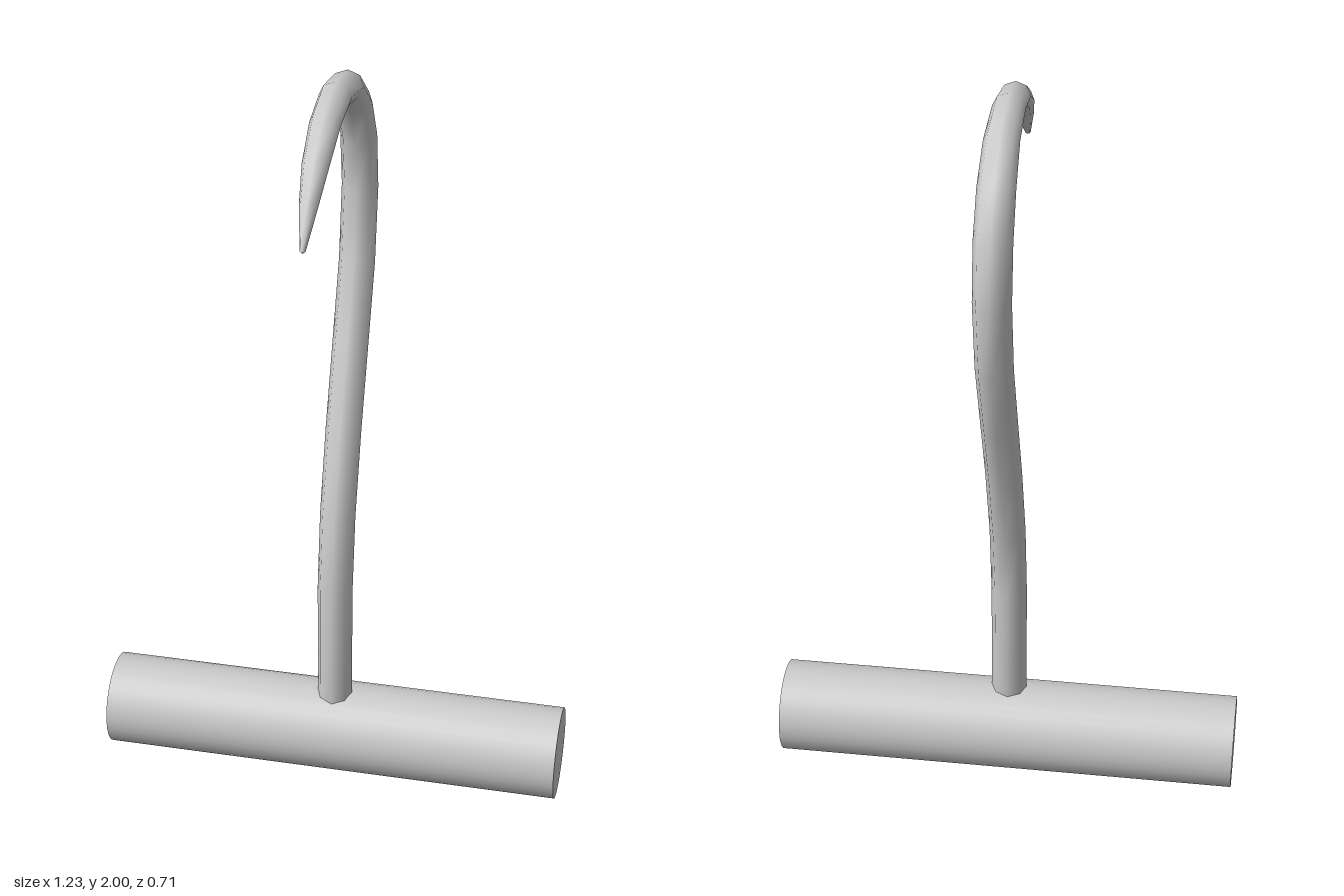
import * as THREE from 'three';

const material = new THREE.MeshStandardMaterial({ color: 0xcccccc });

// Hook sections from the handle to the point: [z, y, half depth, half width]
const SECTIONS = [
  [0, 0.13, 0.046, 0.047],
  [-0.005, 0.577, 0.046, 0.047],
  [-0.037, 0.784, 0.046, 0.047],
  [-0.109, 1.005, 0.046, 0.047],
  [-0.188, 1.2, 0.046, 0.047],
  [-0.272, 1.41, 0.046, 0.047],
  [-0.306, 1.605, 0.046, 0.047],
  [-0.285, 1.754, 0.045, 0.047],
  [-0.226, 1.863, 0.042, 0.046],
  [-0.135, 1.94, 0.038, 0.043],
  [-0.008, 1.965, 0.035, 0.04],
  [0.106, 1.942, 0.033, 0.038],
  [0.209, 1.884, 0.029, 0.033],
  [0.285, 1.815, 0.021, 0.023],
  [0.35, 1.73, 0.006, 0.007],
];
const SIDES = 8;

// Skin eight-sided rings set square to the path in the y-z plane
function hookGeometry() {
  const positions = [];
  const index = [];
  const last = SECTIONS.length - 1;
  SECTIONS.forEach(([z, y, depth, width], i) => {
    const a = SECTIONS[Math.max(i - 1, 0)];
    const b = SECTIONS[Math.min(i + 1, last)];
    const here = new THREE.Vector2(z, y);
    const into = new THREE.Vector2(z - a[0], y - a[1]).normalize();
    const out = new THREE.Vector2(b[0], b[1]).sub(here).normalize();
    const t = into.add(out).normalize();
    for (let j = 0; j < SIDES; j++) {
      const angle = (j / SIDES) * Math.PI * 2;
      const s = Math.sin(angle) * depth;
      positions.push(Math.cos(angle) * width, y + t.x * s, z - t.y * s);
      if (i < last) {
        const p = i * SIDES + j;
        const q = i * SIDES + ((j + 1) % SIDES);
        index.push(p, q, q + SIDES, p, q + SIDES, p + SIDES);
      }
    }
  });
  // Close the point
  const tip = positions.length / 3;
  positions.push(0, SECTIONS[last][1] - 0.004, SECTIONS[last][0] + 0.003);
  for (let j = 0; j < SIDES; j++) {
    index.push(last * SIDES + j, last * SIDES + ((j + 1) % SIDES), tip);
  }
  const geometry = new THREE.BufferGeometry();
  geometry.setAttribute('position', new THREE.Float32BufferAttribute(positions, 3));
  geometry.setIndex(index);
  geometry.computeVertexNormals();
  return geometry;
}

export function createModel() {
  const group = new THREE.Group();
  group.name = 'handHook';

  // Cross handle
  const handle = new THREE.Mesh(new THREE.CylinderGeometry(0.123, 0.123, 1.23, 32), material);
  handle.name = 'handle';
  handle.rotation.z = Math.PI / 2;
  handle.position.set(0, 0.123, -0.012);
  group.add(handle);

  // Curved, tapering hook
  const hook = new THREE.Mesh(hookGeometry(), material);
  hook.name = 'hook';
  group.add(hook);

  return group;
}
